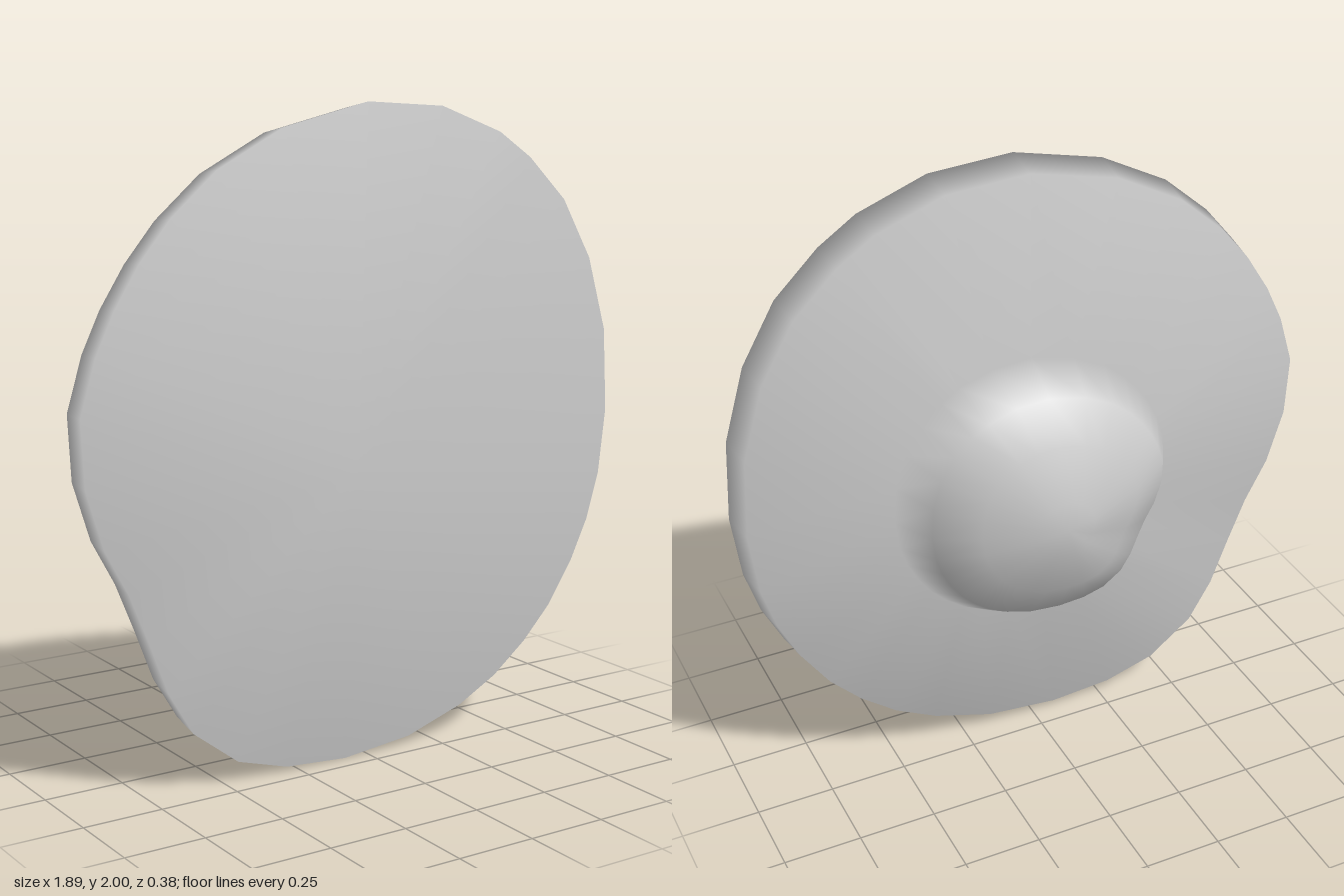
import * as THREE from 'three';

// Irregular rim outline (x, y), clockwise from the top, dented at the lower left
const OUTLINE = [
  [0, 2], [0.27, 1.985], [0.49, 1.905], [0.61, 1.825], [0.75, 1.69], [0.86, 1.5], [0.93, 1.265], [0.945, 1],
  [0.92, 0.79], [0.875, 0.64], [0.81, 0.505], [0.72, 0.37], [0.62, 0.265], [0.5, 0.17], [0.36, 0.095], [0.16, 0.03],
  [-0.08, 0.005], [-0.29, 0.02], [-0.46, 0.07], [-0.61, 0.185], [-0.69, 0.32], [-0.75, 0.48], [-0.81, 0.63], [-0.885, 0.77],
  [-0.94, 0.95], [-0.95, 1.15], [-0.9, 1.315], [-0.84, 1.44], [-0.76, 1.565], [-0.66, 1.685], [-0.51, 1.815], [-0.29, 1.93],
];

// Cross-sections from front to back: x scale, y scale, centre height, z
const RINGS = [
  [1, 1, 1, 0.19],             // front rim
  [0.982, 0.98, 1, 0.07],      // back rim
  [0.49, 0.465, 0.915, 0.07],  // base of the dome
  [0.417, 0.39, 0.917, -0.06],
  [0.277, 0.265, 0.92, -0.14],
  [0.1, 0.095, 0.908, -0.185],
];

// Smooth loft through all rings, closed by a fan at each end
function loft(outline, rings, frontCentre, backCentre) {
  const n = outline.length;
  const positions = [];
  const index = [];
  for (const [sx, sy, cy, z] of rings) {
    for (const [x, y] of outline) positions.push(x * sx, cy + (y - 1) * sy, z);
  }
  const front = rings.length * n;
  const back = front + 1;
  positions.push(...frontCentre, ...backCentre);

  const last = (rings.length - 1) * n;
  for (let j = 0; j < n; j++) {
    const k = (j + 1) % n;
    index.push(front, k, j);
    for (let r = 0; r < last; r += n) {
      index.push(r + j, r + k, r + n + j, r + k, r + n + k, r + n + j);
    }
    index.push(last + j, last + k, back);
  }

  const geometry = new THREE.BufferGeometry();
  geometry.setAttribute('position', new THREE.Float32BufferAttribute(positions, 3));
  geometry.setIndex(index);
  geometry.computeVertexNormals();
  return geometry;
}

export function createModel() {
  const group = new THREE.Group();
  group.name = 'domedDisc';

  // Flat irregular disc with a low dome rising from its back
  const material = new THREE.MeshStandardMaterial({ color: 0xcccccc });
  const disc = new THREE.Mesh(loft(OUTLINE, RINGS, [-0.03, 0.9, 0.19], [0, 0.91, -0.19]), material);
  disc.name = 'discWithDome';
  group.add(disc);
  return group;
}
